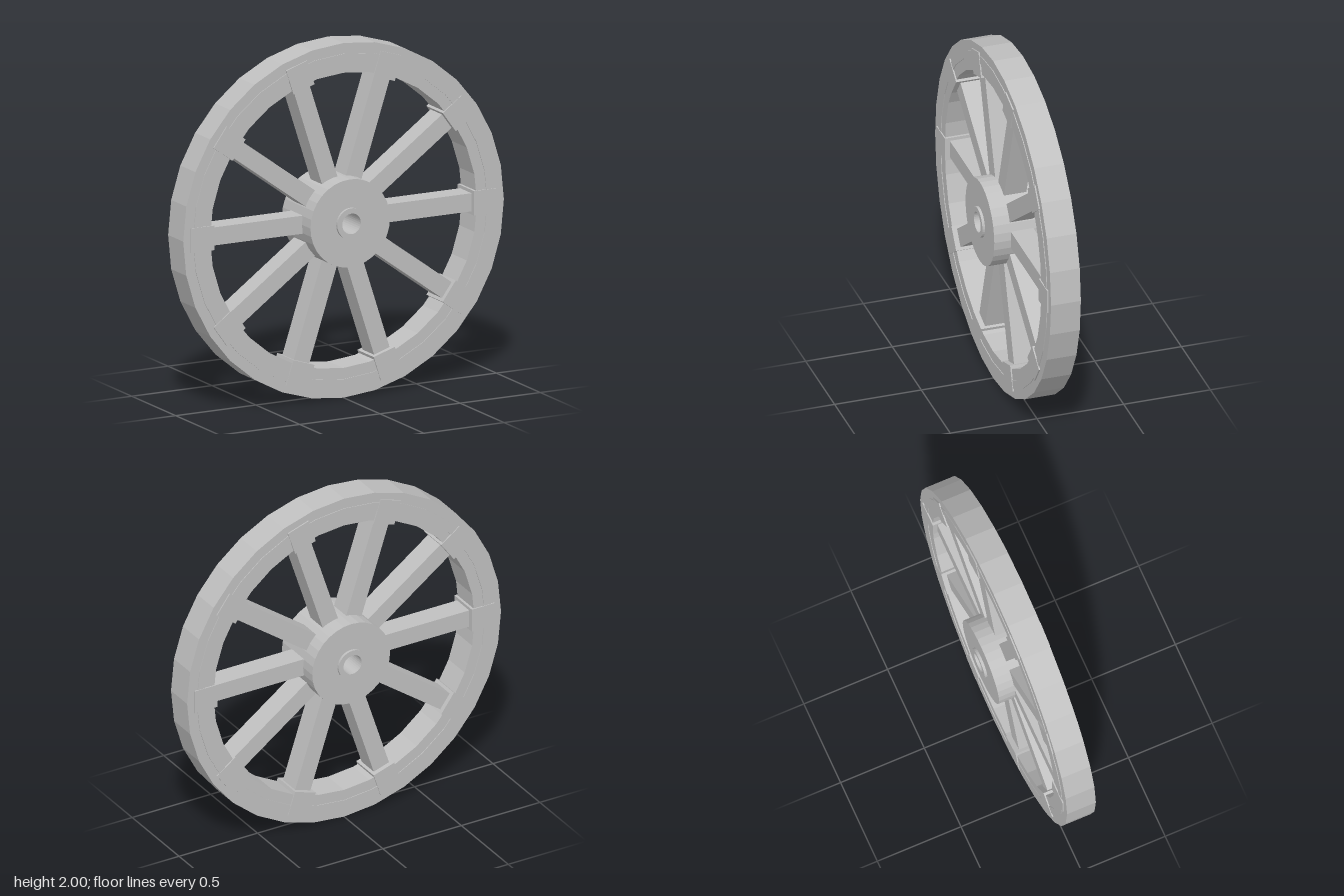
import * as THREE from 'three';

const SPOKES = 10;
const SIDES = 32;

export function createModel() {
  const model = new THREE.Group();
  model.name = 'spokedWheel';
  const grey = new THREE.MeshStandardMaterial({ color: 0xc0c0c0, flatShading: true });
  grey.name = 'grey';

  // The wheel turns about z, with its centre one unit above the ground
  const wheel = new THREE.Group();
  wheel.name = 'wheel';
  wheel.position.y = 1;
  model.add(wheel);

  const add = (name, geometry, parent = wheel) => {
    const mesh = new THREE.Mesh(geometry, grey);
    mesh.name = name;
    parent.add(mesh);
    return mesh;
  };

  // Closed ring around the z axis with a rectangular section
  const ring = (inner, outer, halfDepth) => {
    const profile = [[inner, -1], [outer, -1], [outer, 1], [inner, 1], [inner, -1]]
      .map(([r, s]) => new THREE.Vector2(r, s * halfDepth));
    return new THREE.LatheGeometry(profile, SIDES).rotateX(Math.PI / 2);
  };

  // Rim with a slightly raised band on both faces
  add('rim', ring(0.832, 1, 0.086));
  add('rimBand', ring(0.895, 0.94, 0.09));

  // Hub and the bored axle sleeve that stands proud of it
  add('hub', ring(0.07, 0.248, 0.162));
  add('axleSleeve', ring(0.058, 0.088, 0.177));

  // Spokes, each ending in a bracket that clasps the rim
  const spokeGeometry = new THREE.BoxGeometry(0.66, 0.102, 0.13).translate(0.53, 0, 0);
  const bracketGeometry = new THREE.BoxGeometry(0.145, 0.138, 0.187).translate(0.8825, 0, 0);
  for (let i = 0; i < SPOKES; i++) {
    const arm = new THREE.Group();
    arm.name = 'spokeArm';
    arm.rotation.z = (i / SPOKES) * Math.PI * 2;
    add('spoke', spokeGeometry, arm);
    add('rimBracket', bracketGeometry, arm);
    wheel.add(arm);
  }

  return model;
}
